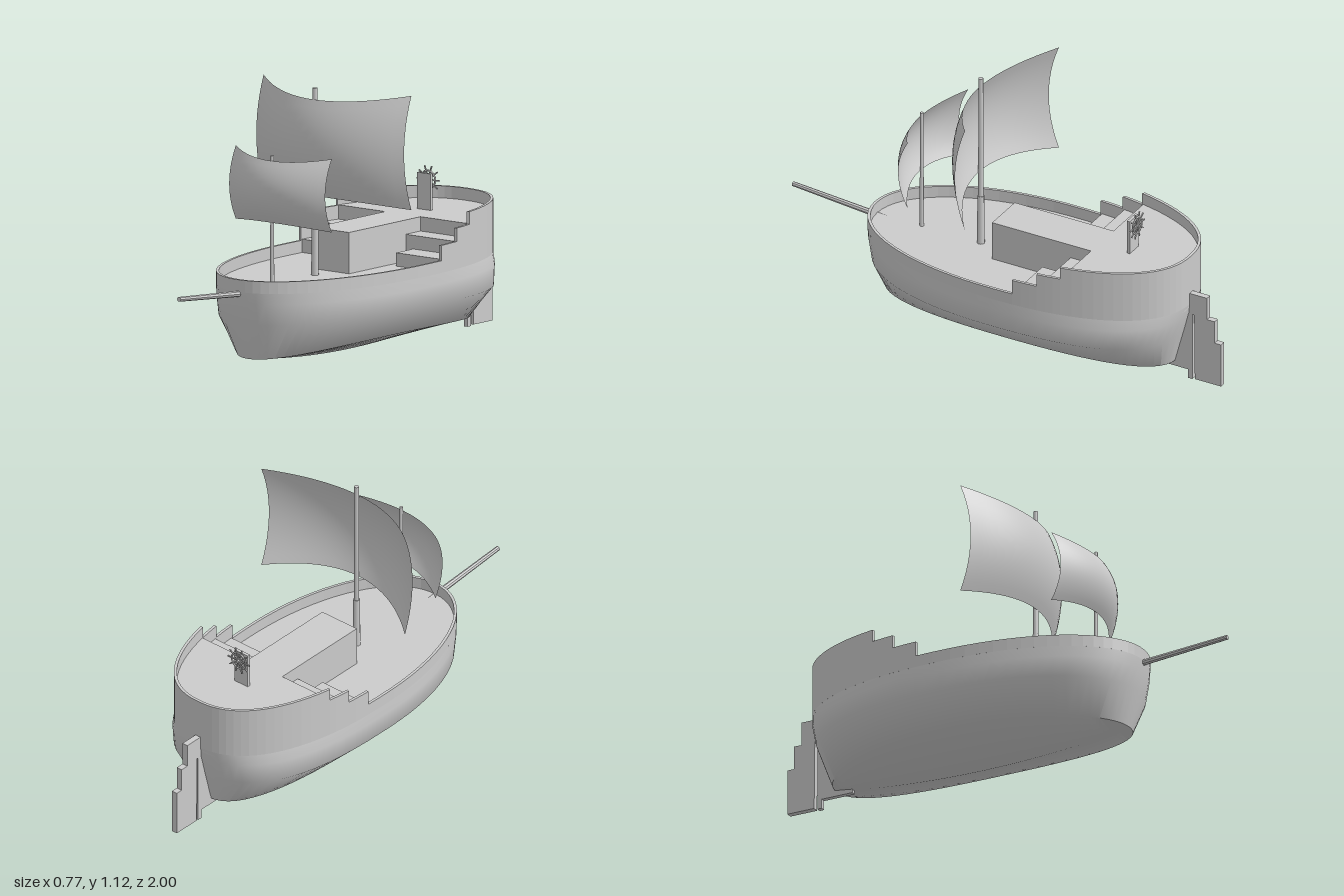
import * as THREE from 'three';
import { toCreasedNormals } from 'three/addons/utils/BufferGeometryUtils.js';

const grey = new THREE.MeshStandardMaterial({ color: 0xcccccc });
const flat = new THREE.MeshStandardMaterial({ color: 0xcccccc, flatShading: true });
const cloth = new THREE.MeshStandardMaterial({ color: 0xcccccc, side: THREE.DoubleSide });

const CZ = -0.118, RZ = 0.737, RX = 0.373;
const DECK = 0.355, POOP = 0.525, RAIL = 0.05;

// Point [x, z] on an oval; bow and stern halves have their own fullness
function oval(a, rx, rz, cz, bow, stern) {
  const c = Math.cos(a), s = Math.sin(a), p = 2 / (c > 0 ? bow : stern);
  return [rx * Math.sign(s) * Math.abs(s) ** p, cz + rz * Math.sign(c) * Math.abs(c) ** p];
}
const edge = (a, inset = 0) => oval(a, RX - inset, RZ - inset, CZ, 2.08, 2.3);

// Angle on the deck edge (x > 0) at a given z
function angleAt(z, inset = 0) {
  const t = (z - CZ) / (RZ - inset), n = t > 0 ? 2.08 : 2.3;
  return Math.acos(Math.sign(t) * Math.abs(t) ** (n / 2));
}

function arc(a0, a1, inset = 0, n = 24) {
  return Array.from({ length: n + 1 }, (_, i) => edge(a0 + (a1 - a0) * i / n, inset));
}

// Vertical prism over a plan of [x, z] points
function prism(points, y0, y1) {
  const shape = new THREE.Shape(points.map(([x, z]) => new THREE.Vector2(x, -z)));
  const g = new THREE.ExtrudeGeometry(shape, { depth: y1 - y0, bevelEnabled: false });
  return g.rotateX(-Math.PI / 2).translate(0, y0, 0);
}

// Plate in the y-z plane from [z, y] points, centred on x = 0
function plate(points, width) {
  const shape = new THREE.Shape(points.map(([z, y]) => new THREE.Vector2(-z, y)));
  const g = new THREE.ExtrudeGeometry(shape, { depth: width, bevelEnabled: false });
  return g.translate(0, 0, -width / 2).rotateY(Math.PI / 2);
}

// Thin wall following the deck edge
function wall(a0, a1, y0, y1, n) {
  const t = 0.012;
  return prism([...arc(a0, a1, 0, n), ...arc(a0, a1, t, n).reverse()], y0, y1);
}

// Hull skin lofted through rings from the keel to the deck edge
function hullGeometry() {
  const N = 64, pos = [], idx = [];
  const rings = [
    { rx: 0, z0: 0.555, z1: -0.785, y: 0.02, end: 0.07, stern: 2.2 },
    { rx: 0.25, z0: 0.555, z1: -0.785, y: 0.11, end: 0.07, stern: 2.2 },
    { rx: 0.375, z0: 0.598, z1: -0.825, y: 0.23, end: 0.22, stern: 2.6 },
    { rx: 0.375, z0: 0.615, z1: -0.848, y: 0.31, end: 0.31, stern: 2.45 },
    { rx: RX, z0: CZ + RZ, z1: CZ - RZ, y: DECK, end: DECK, stern: 2.3 },
  ];
  for (const r of rings) {
    const cz = (r.z0 + r.z1) / 2, rz = (r.z0 - r.z1) / 2;
    for (let i = 0; i <= N; i++) {
      const [x, z] = oval(i / N * Math.PI * 2, r.rx, rz, cz, 2.08, r.stern);
      pos.push(x, r.y + (r.end - r.y) * ((z - cz) / rz) ** 2, z);
    }
  }
  for (let j = 0; j < rings.length - 1; j++) for (let i = 0; i < N; i++) {
    const a = j * (N + 1) + i, b = a + N + 1;
    idx.push(a, a + 1, b + 1, a, b + 1, b);
  }
  const g = new THREE.BufferGeometry();
  g.setAttribute('position', new THREE.Float32BufferAttribute(pos, 3));
  g.setIndex(idx);
  return toCreasedNormals(g, 0.95);
}

// Billowed sail: half width, mid height, half height, corner flare, depth, belly, sweep
function sailGeometry(w, y, h, flare, z, belly, sweep) {
  const g = new THREE.PlaneGeometry(2, 2, 20, 12), p = g.attributes.position;
  for (let i = 0; i < p.count; i++) {
    const u = p.getX(i), v = p.getY(i);
    p.setXYZ(i, u * w, y + v * (h + flare * u * u), z + belly * (1 - v * v) - sweep * u * u);
  }
  g.computeVertexNormals();
  return g;
}

export function createModel() {
  const model = new THREE.Group();
  const add = (name, geometry, material = flat, parent = model) => {
    const m = new THREE.Mesh(geometry, material);
    m.name = name;
    parent.add(m);
    return m;
  };
  const box = (name, w, y0, y1, z0, z1, parent) =>
    add(name, new THREE.BoxGeometry(w, y1 - y0, z1 - z0), flat, parent)
      .position.set(0, (y0 + y1) / 2, (z0 + z1) / 2);
  const PI = Math.PI;

  // Hull and decks
  add('hull', hullGeometry(), grey);
  add('mainDeck', prism(arc(0, 2 * PI, 0.002, 64).slice(0, -1), DECK - 0.02, DECK));
  const aft = angleAt(-0.44, 0.004);
  add('poopDeck', prism(arc(aft, 2 * PI - aft, 0.004, 40), DECK, POOP));
  box('cabin', 0.185, DECK, POOP, -0.445, 0.02);

  // Bulwarks: low around the bow, stepped up to the stern
  const s0 = angleAt(-0.23), s1 = angleAt(-0.34), s2 = angleAt(-0.44);
  add('bowRail', wall(-s0, s0, DECK, DECK + RAIL, 40));
  add('sternRail', wall(s2, 2 * PI - s2, DECK, POOP + RAIL, 32));
  for (const side of [1, -1]) {
    add('lowerStepRail', wall(side * s0, side * s1, DECK, 0.468, 3));
    add('upperStepRail', wall(side * s1, side * s2, DECK, 0.523, 3));
    // Broad stairs either side of the cabin
    for (const [x, z0, z1, top] of [[0.13, -0.235, -0.345, 0.41], [0.09, -0.345, -0.445, 0.466]]) {
      const outer = arc(angleAt(z0, 0.004), angleAt(z1, 0.004), 0.004, 3);
      const plan = [[x, z0], ...outer, [x, z1]].map(([px, pz]) => [px * side, pz]);
      add('stair', prism(plan, DECK, top));
    }
  }

  // Masts, thicker at the foot
  const pole = (name, r0, r1, y0, y1, z) =>
    add(name, new THREE.CylinderGeometry(r1, r0, y1 - y0, 10), grey).position.set(0, (y0 + y1) / 2, z);
  pole('mainMastFoot', 0.016, 0.014, DECK, 0.575, 0.125);
  pole('mainMast', 0.011, 0.01, 0.575, 1.125, 0.125);
  pole('foreMast', 0.009, 0.007, DECK, 0.885, 0.4);

  // Sails
  add('mainSail', sailGeometry(0.385, 0.88, 0.198, 0.037, 0.135, 0.047, 0.155), cloth);
  add('foreSail', sailGeometry(0.25, 0.737, 0.127, 0.024, 0.408, 0.043, 0.083), cloth);

  // Bowsprit
  const from = new THREE.Vector3(0, 0.342, 0.56), to = new THREE.Vector3(0, 0.378, 0.999);
  const sprit = add('bowsprit', new THREE.CylinderGeometry(0.01, 0.013, from.distanceTo(to), 8));
  sprit.position.copy(from).lerp(to, 0.5);
  sprit.quaternion.setFromUnitVectors(new THREE.Vector3(0, 1, 0), to.clone().sub(from).normalize());

  // Skeg, sternpost and stepped rudder
  add('sternPost', plate([[-0.705, 0.08], [-0.705, 0.045], [-0.845, 0.045], [-0.845, 0.005],
    [-0.865, 0.005], [-0.865, 0.31], [-0.835, 0.31], [-0.78, 0.08]], 0.02));
  add('rudder', plate([[-0.878, 0.01], [-1, 0.01], [-1, 0.205], [-0.97, 0.205], [-0.97, 0.305],
    [-0.935, 0.305], [-0.935, 0.405], [-0.85, 0.405], [-0.85, 0.31], [-0.875, 0.31]], 0.026));

  // Steering wheel on its stand
  const helm = new THREE.Group();
  helm.name = 'helm';
  model.add(helm);
  box('wheelStand', 0.07, POOP, 0.675, -0.588, -0.574, helm);
  const wheel = new THREE.Group();
  wheel.name = 'wheel';
  wheel.position.set(0, 0.645, -0.603);
  helm.add(wheel);
  add('wheelRim', new THREE.TorusGeometry(0.037, 0.004, 6, 20), grey, wheel);
  add('wheelAxle', new THREE.CylinderGeometry(0.008, 0.008, 0.034, 8).rotateX(PI / 2), grey, wheel)
    .position.z = 0.008;
  for (let i = 0; i < 5; i++) {
    add('spoke', new THREE.BoxGeometry(0.118, 0.005, 0.005), flat, wheel).rotation.z = i * PI / 5;
  }
  return model;
}
